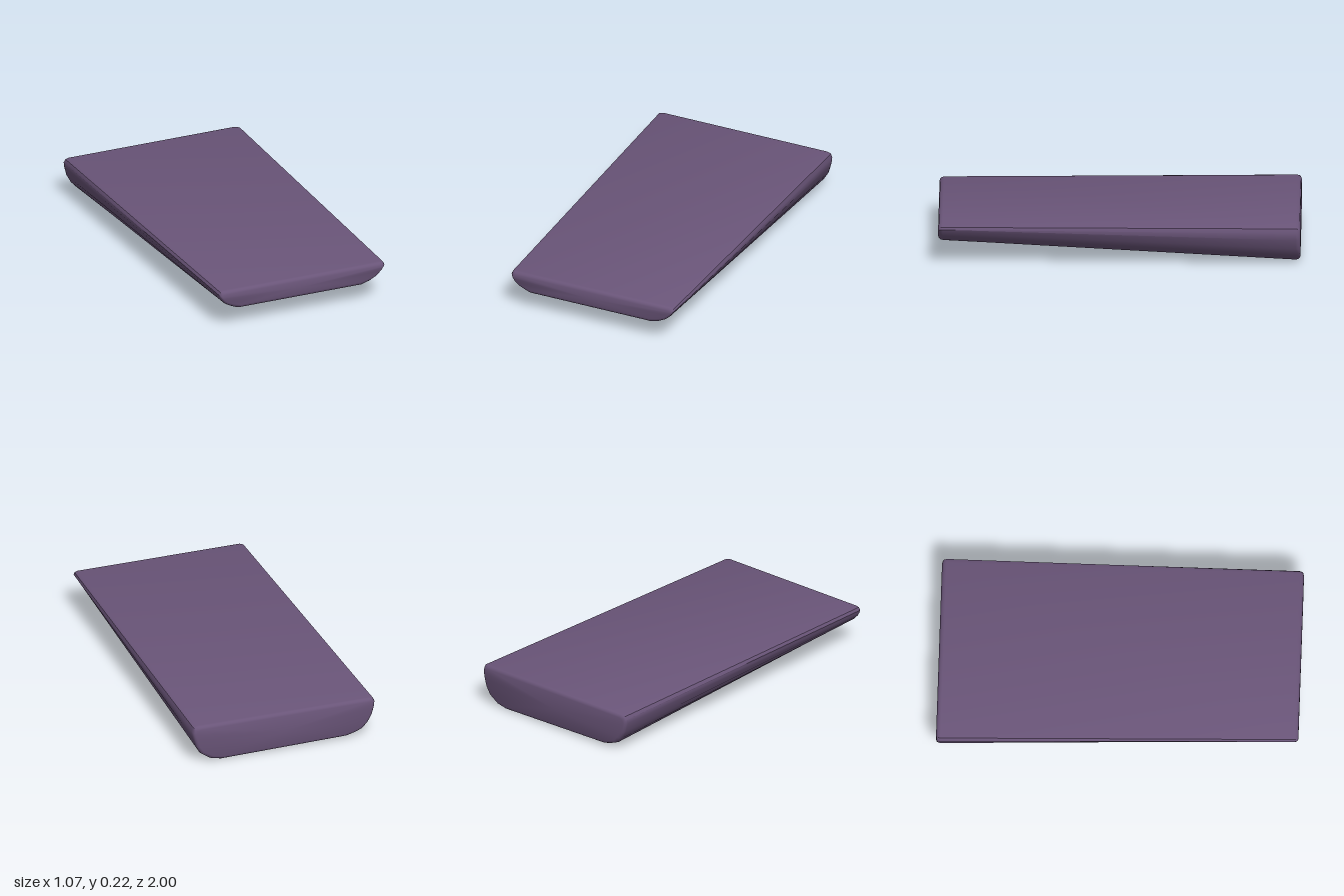
import * as THREE from 'three';
import { toCreasedNormals } from 'three/addons/utils/BufferGeometryUtils.js';

// Matching cross-sections, anticlockwise from the top right-hand edge as [x, y]
const BACK = [
  [-0.505, 0.228], [-0.526, 0.223], [-0.536, 0.205], [-0.534, 0.18], [-0.52, 0.125], [-0.495, 0.08],
  [-0.462, 0.045], [-0.42, 0.028], [-0.37, 0.015], [0.37, 0.002], [0.43, 0.015], [0.488, 0.055],
  [0.515, 0.1], [0.53, 0.155], [0.536, 0.195], [0.528, 0.221], [0.505, 0.228],
];
const FRONT = [
  [-0.455, 0.228], [-0.47, 0.223], [-0.478, 0.207], [-0.474, 0.192], [-0.46, 0.168], [-0.44, 0.148],
  [-0.42, 0.136], [-0.395, 0.124], [-0.365, 0.112], [0.385, 0.112], [0.43, 0.126], [0.47, 0.147],
  [0.492, 0.167], [0.51, 0.188], [0.524, 0.21], [0.518, 0.222], [0.5, 0.228],
];

// Lengthwise stations with the inset that rounds off both ends: [z, inset]
const STATIONS = [
  [-1, 0.02], [-0.996, 0.009], [-0.988, 0.003], [-0.975, 0],
  [0.975, 0], [0.988, 0.003], [0.996, 0.009], [1, 0.02],
];

function sectionAt(z, inset) {
  const t = (z + 1) / 2;
  const pts = BACK.map(([x, y], i) => [
    THREE.MathUtils.lerp(x, FRONT[i][0], t),
    THREE.MathUtils.lerp(y, FRONT[i][1], t),
  ]);
  const ys = pts.map((p) => p[1]);
  const lo = Math.min(...ys), hi = Math.max(...ys);
  const mid = (lo + hi) / 2, sy = 1 - (2 * inset) / (hi - lo);
  return pts.map(([x, y]) => [x * (1 - inset / 0.5), mid + (y - mid) * sy, z]);
}

function loftGeometry() {
  const n = BACK.length, last = STATIONS.length - 1;
  const rings = STATIONS.map(([z, inset]) => sectionAt(z, inset));
  const pos = rings.flat(2);
  const index = [];
  for (let k = 0; k < last; k++) {
    for (let i = 0; i < n; i++) {
      const j = (i + 1) % n;
      const a = k * n + i, b = k * n + j;
      index.push(a, b, b + n, a, b + n, a + n);
    }
  }
  // Flat end faces
  for (const [k, front] of [[0, false], [last, true]]) {
    const centre = pos.length / 3;
    const ys = rings[k].map((p) => p[1]);
    pos.push(0, (Math.min(...ys) + Math.max(...ys)) / 2, STATIONS[k][0]);
    for (let i = 0; i < n; i++) {
      const a = k * n + i, b = k * n + ((i + 1) % n);
      index.push(centre, front ? a : b, front ? b : a);
    }
  }
  const geo = new THREE.BufferGeometry();
  geo.setAttribute('position', new THREE.Float32BufferAttribute(pos, 3));
  geo.setIndex(index);
  return toCreasedNormals(geo, Math.PI / 4.5);
}

export function createModel() {
  const group = new THREE.Group();
  group.name = 'taperedSlab';
  const slab = new THREE.Mesh(loftGeometry(), new THREE.MeshStandardMaterial({ color: 0x6a5579 }));
  slab.name = 'slabBody';
  group.add(slab);
  return group;
}
